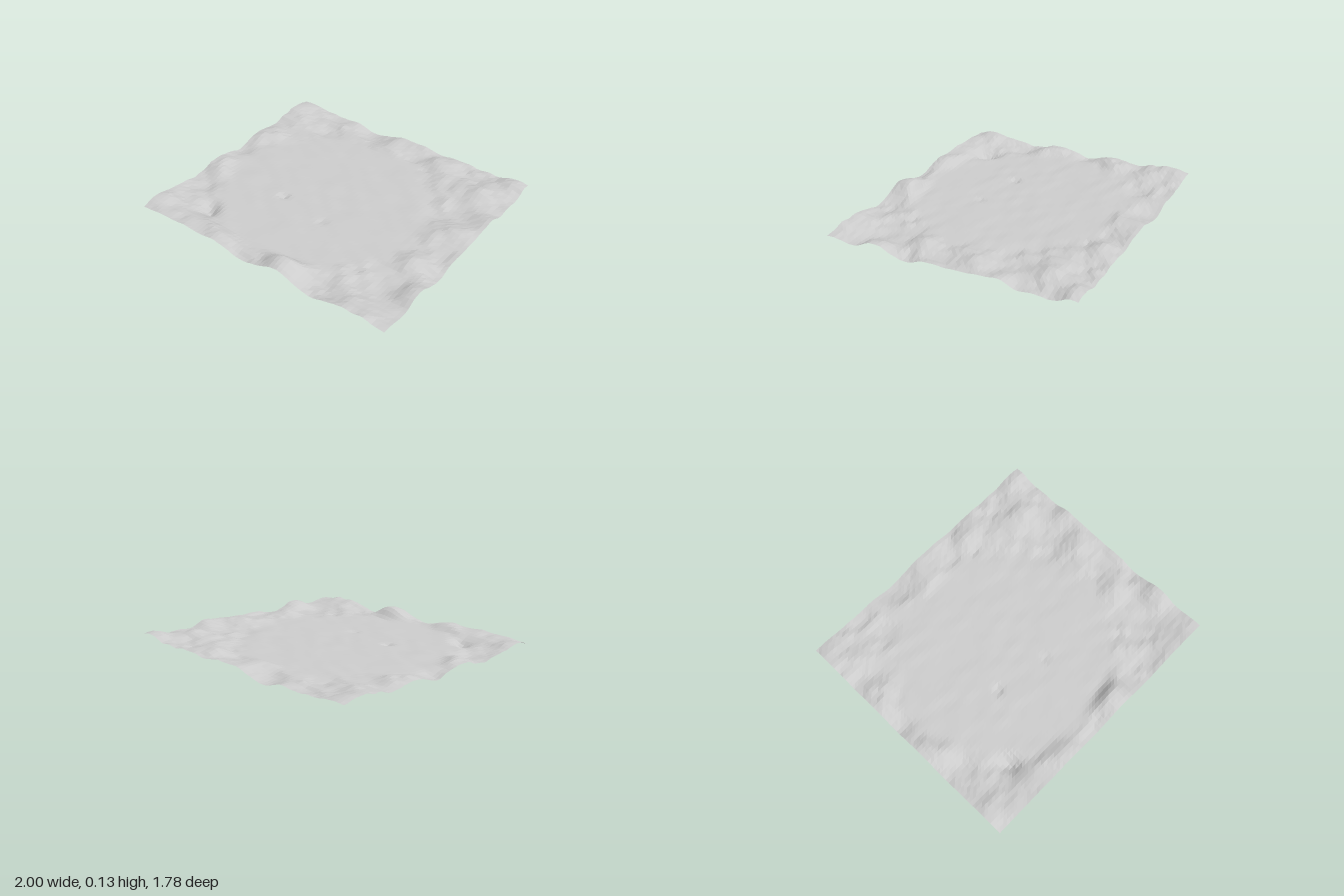
import * as THREE from 'three';

const WIDTH = 2, DEPTH = 1.78, BASE = 0.062;

// Hills and hollows of the rough rim: x, z, radius, height
const BUMPS = [
  [-0.64, 0.92, 0.13, 0.04], [-0.64, 0.61, 0.09, -0.07], [0.18, 0.8, 0.13, 0.072],
  [0.42, 0.88, 0.12, -0.025], [0.8, 0.9, 0.16, 0.02], [0.85, 0.7, 0.12, -0.025],
  [-0.35, 0.78, 0.13, 0.04], [-0.95, 0.78, 0.14, 0.035],
  [1, 0.55, 0.12, 0.035], [0.78, 0.5, 0.1, -0.02], [1, 0.3, 0.1, -0.03],
  [0.8, 0.3, 0.1, 0.025], [0.85, -0.15, 0.13, 0.045], [1, -0.37, 0.1, 0.025],
  [0.78, -0.36, 0.1, -0.025], [0.72, -0.6, 0.14, 0.045], [0.9, -0.85, 0.13, 0.04],
  [-0.05, -0.76, 0.14, 0.035], [-0.9, -0.8, 0.16, 0.04], [-0.6, -0.65, 0.12, -0.02],
  [0.4, -0.8, 0.14, 0.035], [-0.3, -0.86, 0.12, -0.03],
  [-0.95, -0.32, 0.13, 0.035], [-0.95, 0.2, 0.13, 0.03], [-0.97, -0.06, 0.1, -0.02],
  [-0.93, 0.46, 0.11, -0.02],
];

// Repeatable value noise, about -1 to 1
function hash(i, j) {
  const s = Math.sin(i * 127.1 + j * 311.7) * 43758.5453;
  return (s - Math.floor(s)) * 2 - 1;
}
function noise(x, z) {
  const i = Math.floor(x), j = Math.floor(z);
  const u = THREE.MathUtils.smoothstep(x - i, 0, 1);
  const v = THREE.MathUtils.smoothstep(z - j, 0, 1);
  const { lerp } = THREE.MathUtils;
  return lerp(lerp(hash(i, j), hash(i + 1, j), u), lerp(hash(i, j + 1), hash(i + 1, j + 1), u), v);
}

function heightAt(x, z) {
  // Irregular oval clearing: 0 inside, 1 on the rough rim
  const wobble = 0.06 * noise(x * 4 + 9, z * 4);
  const r = Math.hypot((x + 0.1) / 0.76, (z - 0.05) / 0.7) + wobble;
  const rim = THREE.MathUtils.smoothstep(r, 0.95, 1.12);

  let rough = 0.014 * noise(x * 6, z * 8) + 0.009 * noise(x * 13 + 5, z * 17);
  for (const [bx, bz, radius, h] of BUMPS) {
    rough += h * Math.exp(-((x - bx) ** 2 + (z - bz) ** 2) / (radius * radius));
  }
  // Small ledges
  const step = 0.012;
  const level = rough / step, floor = Math.floor(level);
  const ledge = (floor + THREE.MathUtils.smoothstep(level - floor, 0.3, 0.7)) * step;
  rough = rough * 0.6 + ledge * 0.4;

  // Faint diagonal ripples and two little pits in the clearing
  const ripple = 0.003 * noise(x * 7 + z * 3, z * 14 - x * 4);
  const pit = (px, pz, d) => -d * Math.exp(-((x - px) ** 2 + (z - pz) ** 2) / 0.001);
  const y = BASE + ripple + rim * rough + pit(-0.32, 0.21, 0.02) + pit(0.07, 0.28, 0.01);
  return THREE.MathUtils.clamp(y, 0, 0.14);
}

export function createModel() {
  const group = new THREE.Group();
  group.name = 'terrain';

  // One thin sheet of ground, lifted by the height rule
  const geometry = new THREE.PlaneGeometry(WIDTH, DEPTH, 64, 64).rotateX(-Math.PI / 2);
  const pos = geometry.attributes.position;
  for (let i = 0; i < pos.count; i++) pos.setY(i, heightAt(pos.getX(i), pos.getZ(i)));
  geometry.computeVertexNormals();
  geometry.computeBoundingBox();
  geometry.translate(0, -geometry.boundingBox.min.y, 0);

  const ground = new THREE.Mesh(geometry, new THREE.MeshStandardMaterial({
    color: 0xcccccc, flatShading: true, side: THREE.DoubleSide,
  }));
  ground.name = 'ground';
  group.add(ground);
  return group;
}
